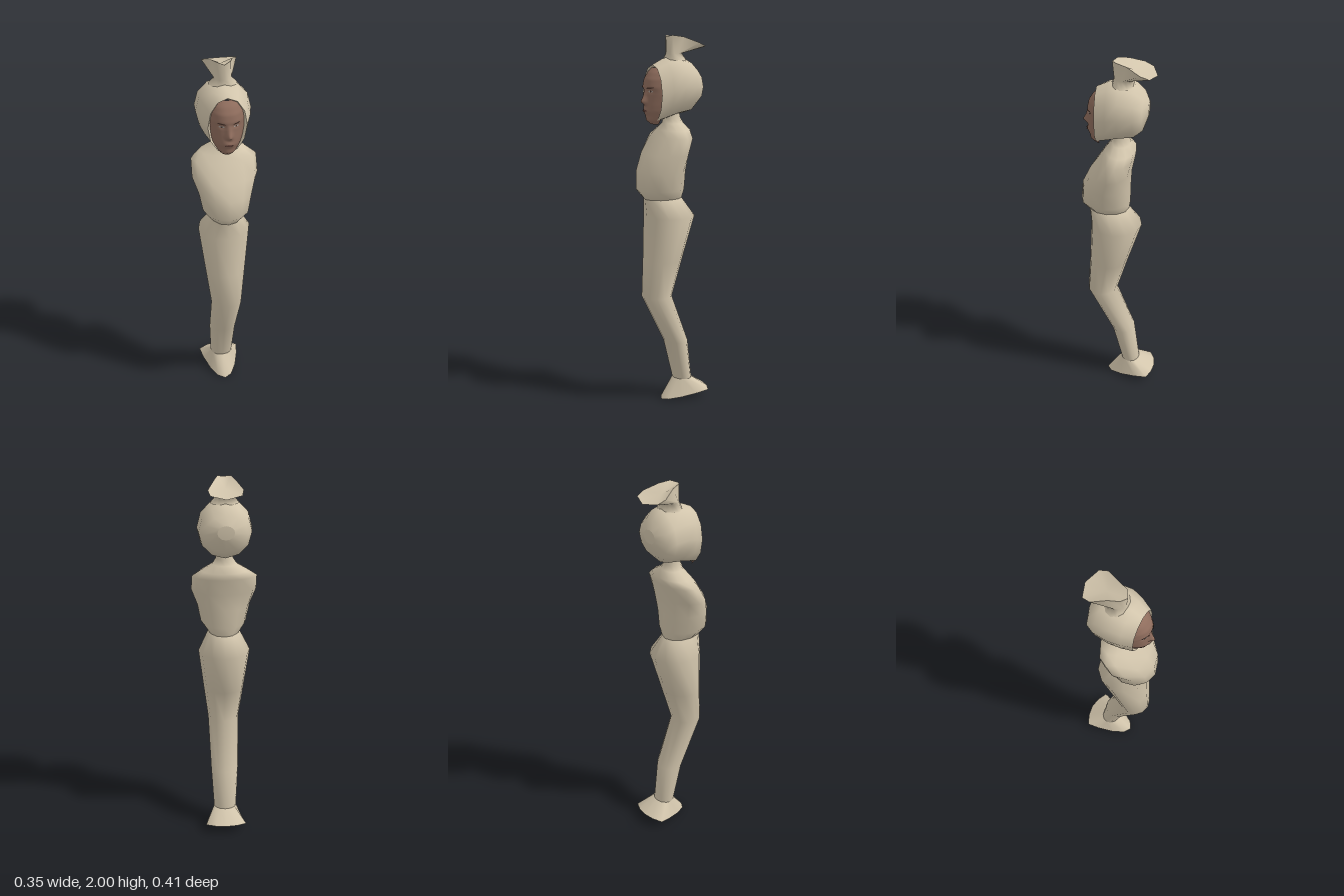
import * as THREE from 'three';

const N = 12;
const cloth = new THREE.MeshStandardMaterial({ name: 'sand cloth', color: 0xd2c5ac });
const skin = new THREE.MeshStandardMaterial({ name: 'brown skin', color: 0x8f6d5d, side: THREE.DoubleSide });
const dark = new THREE.MeshStandardMaterial({ name: 'dark brown', color: 0x4a342c, side: THREE.DoubleSide });
const white = new THREE.MeshStandardMaterial({ name: 'eye grey', color: 0xa39a92, side: THREE.DoubleSide });
const lipTone = new THREE.MeshStandardMaterial({ name: 'lip brown', color: 0x704c42, side: THREE.DoubleSide });

function makeMesh(name, pos, idx, material) {
  const g = new THREE.BufferGeometry();
  g.setAttribute('position', new THREE.Float32BufferAttribute(pos, 3));
  g.setIndex(idx);
  g.computeVertexNormals();
  const m = new THREE.Mesh(g, material);
  m.name = name;
  return m;
}

// Skin closed rings of N points; optional fan caps at either end [x, y, z].
function loft(name, rings, material, startCap, endCap) {
  const pos = rings.flat(2), idx = [];
  for (let i = 0; i < rings.length - 1; i++) {
    for (let j = 0; j < N; j++) {
      const a = i * N + j, b = i * N + (j + 1) % N;
      idx.push(a, b, a + N, b, b + N, a + N);
    }
  }
  const cap = (ring, centre, flip) => {
    const s = pos.length / 3;
    pos.push(...ring.flat(), ...centre);
    for (let j = 0; j < N; j++) {
      const a = s + j, b = s + (j + 1) % N;
      if (flip) idx.push(s + N, b, a); else idx.push(s + N, a, b);
    }
  };
  if (startCap) cap(rings[0], startCap, true);
  if (endCap) cap(rings[rings.length - 1], endCap, false);
  return makeMesh(name, pos, idx, material);
}

// Horizontal oval: height, half width, front z, back z
const oval = ([y, w, f, b]) => Array.from({ length: N }, (_, j) => {
  const a = j / N * Math.PI * 2;
  return [Math.sin(a) * w, y, (f + b) / 2 + Math.cos(a) * (f - b) / 2];
});

// Upright hood ring: z, half width, bottom, top
const upright = ([z, w, lo, hi]) => Array.from({ length: N }, (_, j) => {
  const a = j / N * Math.PI * 2;
  return [Math.sin(a) * w, (lo + hi) / 2 + Math.cos(a) * (hi - lo) / 2, z];
});

// Full ring from the +x half of an outline, height given by a rule
function mirrored(half, height) {
  const other = half.slice(1, -1).reverse().map(([x, z]) => [-x, z]);
  return [...half, ...other].map(([x, z]) => [x, height(x, z), z]);
}

// Linear lookup in a table of rows [y, value, value]
function lookup(table, y, k) {
  for (let i = 0; i < table.length - 1; i++) {
    const p = table[i], q = table[i + 1];
    if (y <= q[0]) return p[k] + (q[k] - p[k]) * Math.max(0, (y - p[0]) / (q[0] - p[0]));
  }
  return table[table.length - 1][k];
}

// Face profile: height, centre z, half width
const FACE = [
  [1.54, 0.125, 0.03], [1.56, 0.15, 0.05], [1.585, 0.153, 0.064], [1.61, 0.163, 0.073], [1.64, 0.162, 0.08],
  [1.69, 0.158, 0.087], [1.735, 0.165, 0.088], [1.775, 0.157, 0.082], [1.81, 0.135, 0.066], [1.835, 0.108, 0.035],
];
const bump = (x, y, cx, cy, w, h) => Math.exp(-(((x - cx) / w) ** 2) - ((y - cy) / h) ** 2);
function faceZ(x, y) {
  const zc = lookup(FACE, y, 1), w = lookup(FACE, y, 2), u = Math.min(1, Math.abs(x) / w);
  let z = zc - (zc - 0.1) * Math.pow(u, 2.4);
  const t = (1.725 - y) / 0.065;
  const nose = t < 0 ? 0 : t <= 1 ? t : Math.max(0, 1 - (t - 1) * 3);
  z += 0.03 * nose * Math.exp(-((x / 0.015) ** 2));
  z -= 0.008 * bump(Math.abs(x), y, 0.036, 1.715, 0.02, 0.012);
  return z + 0.005 * bump(x, y, 0, 1.615, 0.022, 0.012);
}

function makeFace() {
  const pos = [], idx = [], cols = 24, rows = 40;
  for (let i = 0; i <= rows; i++) {
    const y = 1.54 + 0.295 * i / rows, w = lookup(FACE, y, 2);
    for (let j = 0; j <= cols; j++) {
      const x = w * (2 * j / cols - 1);
      pos.push(x, y, faceZ(x, y));
      if (i < rows && j < cols) {
        const a = i * (cols + 1) + j, b = a + cols + 1;
        idx.push(a, a + 1, b, a + 1, b + 1, b);
      }
    }
  }
  return makeMesh('face', pos, idx, skin);
}

// Thin oval laid on the face
function facePatch(name, cx, cy, w, h, tilt, lift, material) {
  const pos = [cx, cy, faceZ(cx, cy) + lift], idx = [], n = 14;
  for (let j = 0; j < n; j++) {
    const a = j / n * Math.PI * 2, x = cx + Math.cos(a) * w;
    const y = cy + Math.sin(a) * h + tilt * (x - cx);
    pos.push(x, y, faceZ(x, y) + lift);
    idx.push(0, 1 + j, 1 + (j + 1) % n);
  }
  return makeMesh(name, pos, idx, material);
}

export function createModel() {
  const model = new THREE.Group();
  model.name = 'hoodedFigure';

  // Flared tail foot with a slanting sole
  const sole = mirrored(
    [[0, 0.07], [0.04, 0.045], [0.075, -0.02], [0.1, -0.1], [0.113, -0.17], [0.06, -0.195], [0, -0.205]],
    (x, z) => 0.05 * (0.07 - z) / 0.275);
  const ankle = [0.11, 0.062, -0.015, -0.115];
  model.add(loft('foot', [sole, oval(ankle)], cloth, [0, 0.025, -0.067]));

  // Joined legs, bent at the knee
  const waist = [1.14, 0.085, 0.165, -0.05];
  model.add(loft('legs', [ankle, [0.33, 0.075, 0.04, -0.088], [0.6, 0.085, 0.177, 0.015],
    [0.8, 0.11, 0.165, -0.045], [1.04, 0.139, 0.155, -0.12], waist].map(oval), cloth));

  // Torso with the bulging wrapped chest
  model.add(loft('torso', [waist, [1.19, 0.122, 0.205, -0.058], [1.29, 0.142, 0.197, -0.06],
    [1.38, 0.173, 0.155, -0.065], [1.47, 0.172, 0.095, -0.083], [1.505, 0.125, 0.075, -0.088],
    [1.54, 0.065, 0.05, -0.06], [1.57, 0.045, 0.045, -0.045], [1.62, 0.045, 0.04, -0.045]].map(oval), cloth));

  // Hood shell and its turned-in rim
  const edge = [0.118, 0.1, 1.542, 1.85];
  model.add(loft('hood', [edge, [0.06, 0.127, 1.56, 1.878], [0.0, 0.143, 1.578, 1.893],
    [-0.08, 0.137, 1.592, 1.875], [-0.125, 0.115, 1.635, 1.83], [-0.15, 0.045, 1.71, 1.785]].map(upright),
  cloth, null, [0, 1.748, -0.153]));
  model.add(loft('hoodRim', [[0.085, 0.082, 1.555, 1.83], edge].map(upright), cloth));

  // Topknot, swept back with a dished end
  const knotTop = mirrored(
    [[0, 0.038], [0.035, 0.015], [0.055, -0.04], [0.09, -0.115], [0.08, -0.16], [0.04, -0.175], [0, -0.19]],
    (x, z) => 2 - 0.07 * Math.max(0, -0.02 - z) / 0.17 - (Math.abs(x) < 0.01 && z > 0 ? 0.008 : 0));
  model.add(loft('topknot', [oval([1.87, 0.075, 0.04, -0.075]), oval([1.905, 0.045, 0.03, -0.055]), knotTop],
    cloth, null, [0, 1.955, -0.07]));

  // Face with painted features
  model.add(makeFace());
  for (const s of [1, -1]) {
    const side = s > 0 ? 'left' : 'right';
    model.add(facePatch(side + 'Eye', s * 0.037, 1.714, 0.014, 0.005, 0, 0.003, white));
    model.add(facePatch(side + 'Pupil', s * 0.037, 1.714, 0.005, 0.005, 0, 0.0045, dark));
    model.add(facePatch(side + 'Brow', s * 0.038, 1.732, 0.021, 0.004, s * 0.12, 0.003, dark));
  }
  model.add(facePatch('lips', 0, 1.612, 0.022, 0.007, 0, 0.003, lipTone));
  model.add(facePatch('mouthLine', 0, 1.613, 0.021, 0.0015, 0, 0.0045, dark));
  return model;
}
